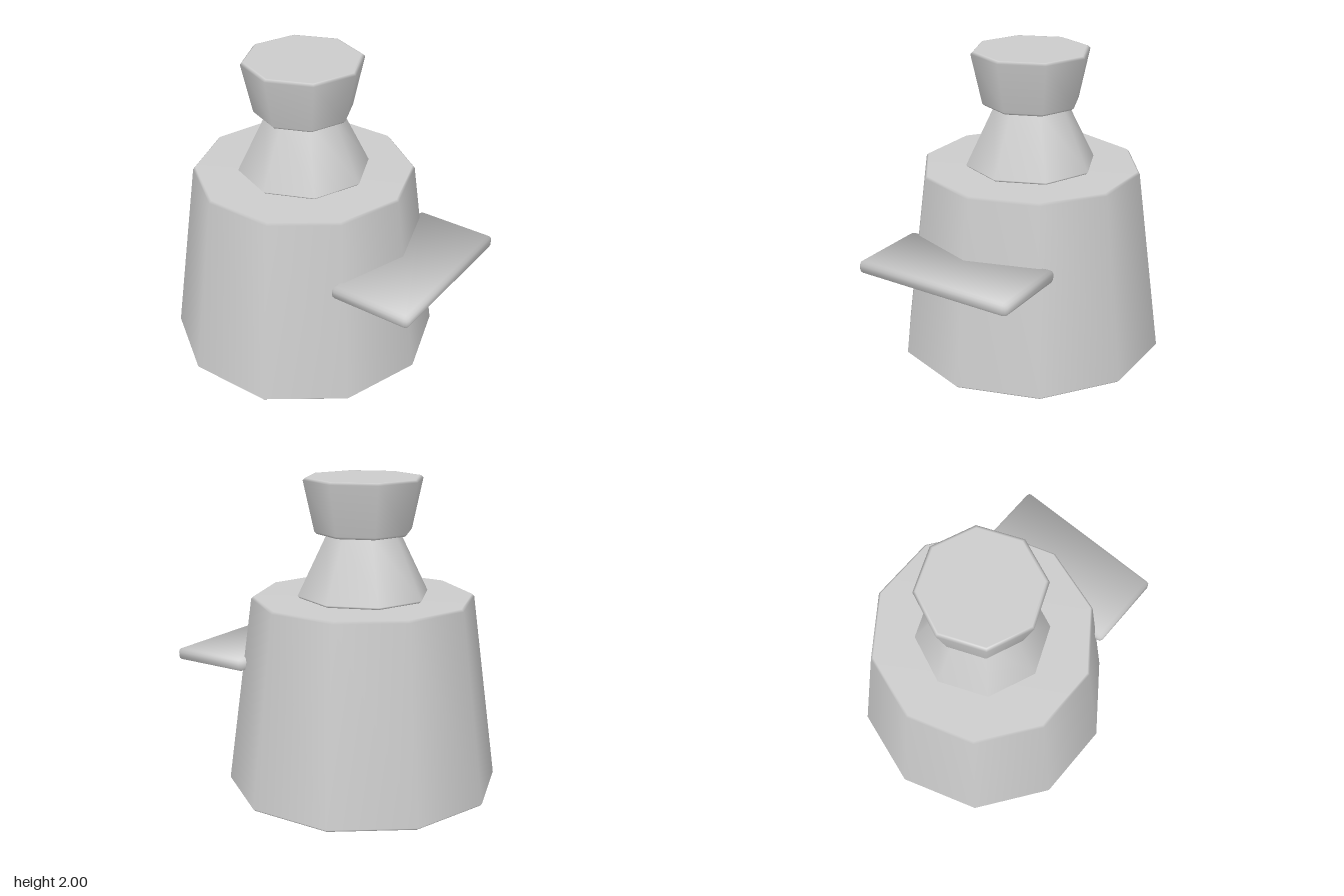
import * as THREE from 'three';
import { RoundedBoxGeometry } from 'three/addons/geometries/RoundedBoxGeometry.js';

// Closed, tapered many-sided drum with small bevels; corners face +z and -z.
// flatBottom / flatTop add an inner ring that keeps the end face evenly flat.
function drum(sides, y0, y1, r0, r1, flatBottom, flatTop) {
  const b = 0.015;
  const profile = [[0, y0]];
  if (flatBottom) profile.push([r0 - b * 1.6, y0]);
  profile.push([r0 - b, y0], [r0, y0 + b], [r1, y1 - b], [r1 - b, y1]);
  if (flatTop) profile.push([r1 - b * 1.6, y1]);
  profile.push([0, y1]);
  return new THREE.LatheGeometry(profile.map(([r, y]) => new THREE.Vector2(r, y)), sides);
}

// Thin bevelled plate whose normals fan outwards for a soft, pillowy look.
function softPlate(w, h, d, bevel) {
  const geo = new RoundedBoxGeometry(w, h, d, 1, bevel);
  const pos = geo.attributes.position;
  const n = new THREE.Vector3();
  for (let i = 0; i < pos.count; i++) {
    n.set(pos.getX(i) / w, pos.getY(i) / h, pos.getZ(i) / d).normalize();
    geo.attributes.normal.setXYZ(i, n.x, n.y, n.z);
  }
  return geo;
}

export function createModel() {
  const group = new THREE.Group();
  const grey = new THREE.MeshStandardMaterial({ color: 0xcccccc });
  grey.name = 'plainGrey';

  const add = (name, geometry, y, z) => {
    const mesh = new THREE.Mesh(geometry, grey);
    mesh.name = name;
    mesh.position.set(0, y, z);
    group.add(mesh);
  };

  const axis = -0.12; // the stacked drums sit slightly behind the middle

  // Ten-sided main body
  add('body', drum(10, 0, 1.245, 0.88, 0.715, true, false), 0, axis);
  // Eight-sided neck narrowing upwards
  add('neck', drum(8, 1.245, 1.665, 0.425, 0.235, false, false), 0, axis);
  // Eight-sided knob flaring upwards
  add('knob', drum(8, 1.65, 2, 0.315, 0.385, false, true), 0, axis);
  // Flat ledge sticking out of the front
  add('frontLedge', softPlate(1.07, 0.08, 0.54, 0.025), 0.807, 0.73);

  return group;
}
